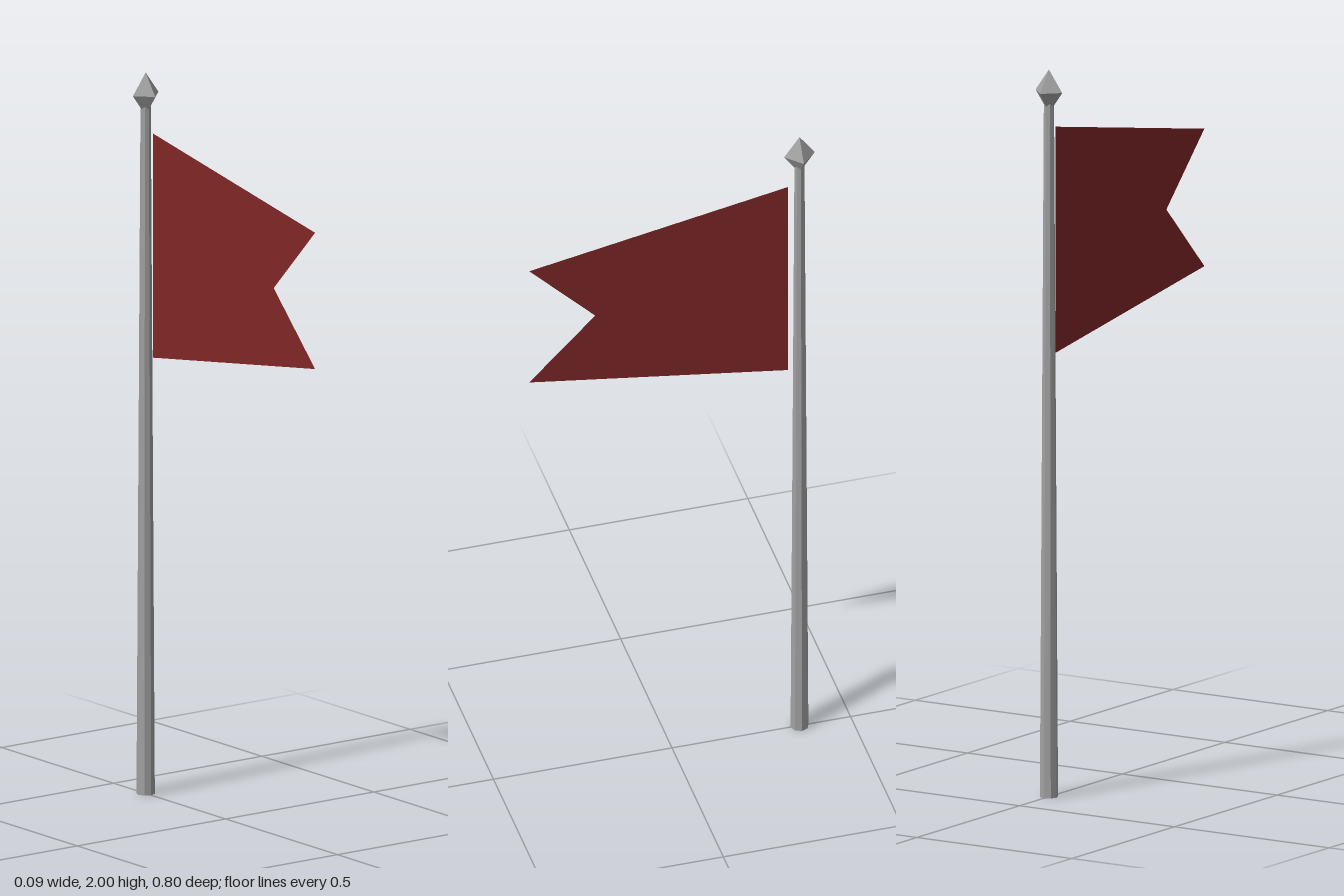
import * as THREE from 'three';

export function createModel() {
  const model = new THREE.Group();
  const metal = new THREE.MeshStandardMaterial({ color: 0xa0a0a0, flatShading: true });
  metal.name = 'grey metal';
  const cloth = new THREE.MeshStandardMaterial({ color: 0x7f2626, side: THREE.DoubleSide });
  cloth.name = 'dark red cloth';
  const poleZ = -0.357;

  const add = (name, geometry, material, y, z) => {
    const mesh = new THREE.Mesh(geometry, material);
    mesh.name = name;
    mesh.position.set(0, y, z);
    model.add(mesh);
    return mesh;
  };

  // Tapered eight-sided pole
  add('pole', new THREE.CylinderGeometry(0.014, 0.025, 1.92, 8), metal, 0.96, poleZ);

  // Diamond-shaped finial
  const finial = new THREE.OctahedronGeometry(1, 0).scale(0.043, 0.06, 0.043);
  add('finial', finial, metal, 1.94, poleZ);

  // Swallow-tailed flag, outlined in (z, y) and turned into the x = 0 plane
  const outline = [
    [-0.325, 1.215], [0.4, 1.327], [0.215, 1.515], [0.4, 1.705], [-0.325, 1.837],
  ].map(([z, y]) => new THREE.Vector2(z, y));
  const flag = new THREE.ShapeGeometry(new THREE.Shape(outline)).rotateY(-Math.PI / 2);
  add('flag', flag, cloth, 0, 0);

  return model;
}
